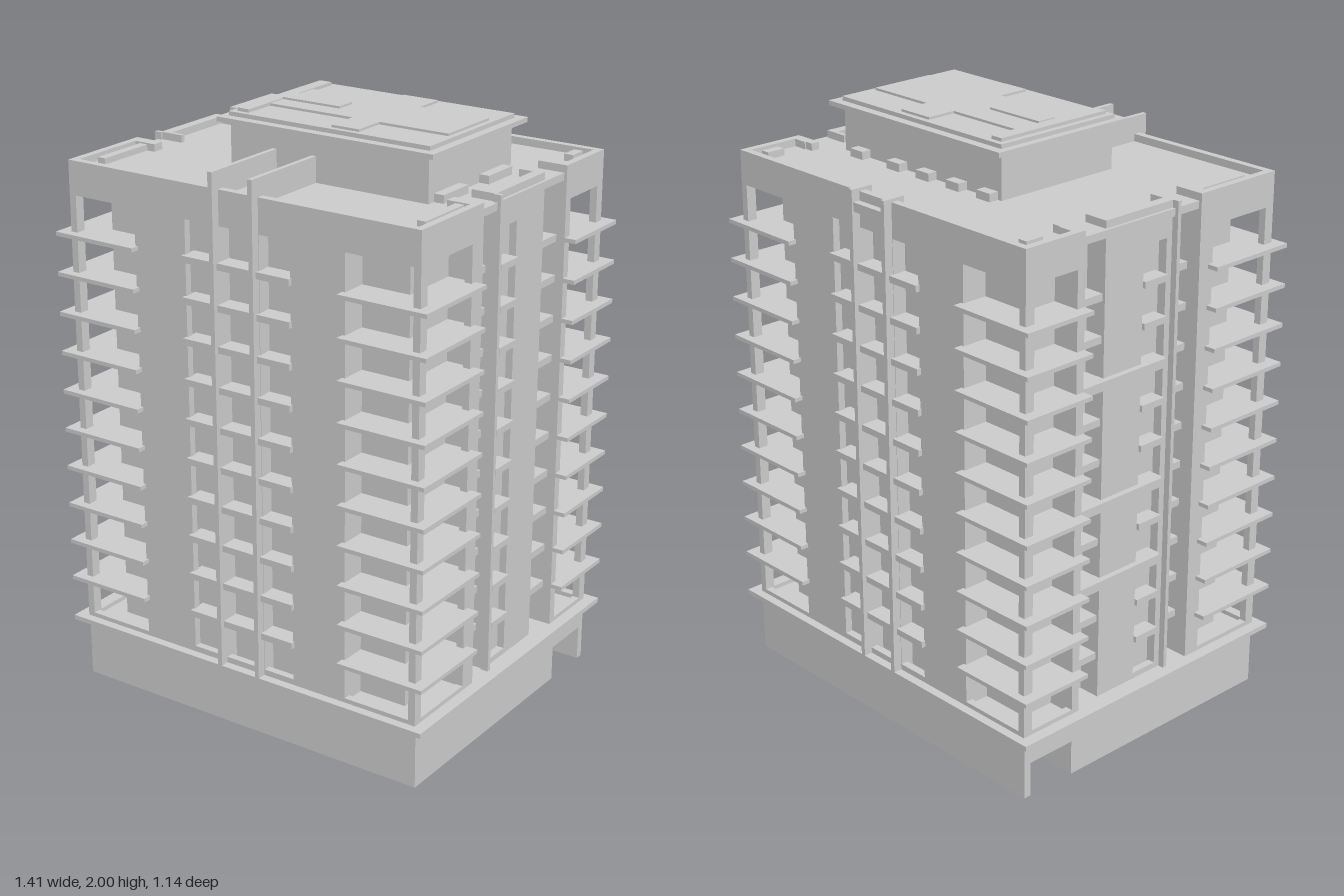
import * as THREE from 'three';

const mat = new THREE.MeshStandardMaterial({ color: 0xcccccc, flatShading: true });
const FLOORS = 11, STEP = 0.1356, Y0 = 0.23, TOP = 1.83;
const floorY = (i) => Y0 + STEP * i;

export function createModel() {
  const root = new THREE.Group();

  function group(name) {
    const g = new THREE.Group();
    g.name = name;
    root.add(g);
    return g;
  }

  // Box given by its two extreme corners
  function box(parent, name, x0, x1, y0, y1, z0, z1) {
    const m = new THREE.Mesh(new THREE.BoxGeometry(Math.abs(x1 - x0), y1 - y0, Math.abs(z1 - z0)), mat);
    m.position.set((x0 + x1) / 2, (y0 + y1) / 2, (z0 + z1) / 2);
    m.name = name;
    parent.add(m);
    return m;
  }

  // Upright wall in the xy plane with rectangular holes [a0, a1, b0, b1]
  function wall(name, u0, u1, v0, v1, holes, depth) {
    const rect = (T, a, b, c, d) => {
      const p = new T();
      p.moveTo(a, c); p.lineTo(b, c); p.lineTo(b, d); p.lineTo(a, d); p.closePath();
      return p;
    };
    const s = rect(THREE.Shape, u0, u1, v0, v1);
    holes.forEach(([a, b, c, d]) => s.holes.push(rect(THREE.Path, a, b, c, d)));
    const m = new THREE.Mesh(new THREE.ExtrudeGeometry(s, { depth, bevelEnabled: false }), mat);
    m.name = name;
    return m;
  }

  // Podium with a covered passage along the back
  const base = group('podium');
  box(base, 'podiumBody', -0.665, 0.665, 0, 0.205, -0.33, 0.535);
  box(base, 'passageCeiling', -0.665, 0.665, 0.12, 0.205, -0.52, -0.33);
  box(base, 'passageWall', -0.665, 0.665, 0, 0.205, -0.537, -0.51);
  box(base, 'podiumLedge', -0.705, 0.705, 0.205, 0.222, -0.57, 0.57);

  // Inner core and roof deck
  const core = group('core');
  box(core, 'coreBody', -0.57, 0.57, 0.21, 1.8, -0.45, 0.45);
  box(core, 'roofDeck', -0.655, 0.655, 1.78, 1.805, -0.53, 0.53);

  // Front and back facades
  for (const s of [1, -1]) {
    const g = group(s > 0 ? 'frontFacade' : 'backFacade');
    const holes = [];
    for (let i = 0; i < FLOORS; i++) {
      const y = floorY(i);
      for (const m of [-1, 1]) holes.push([Math.min(m * 0.4, m * 0.64), Math.max(m * 0.4, m * 0.64), y + 0.007, y + 0.13]);
      for (const [a, b] of [[-0.2, -0.085], [-0.067, 0.067], [0.085, 0.2]]) holes.push([a, b, y + 0.012, y + 0.128]);
    }
    const w = wall('facadeWall', -0.665, 0.665, 0.21, TOP, holes, 0.025);
    w.position.z = s > 0 ? 0.515 : -0.54;
    g.add(w);
    box(g, 'windowPanel', -0.23, 0.23, 0.21, 1.79, s * 0.44, s * 0.49);
    for (const m of [-1, 1]) {
      box(g, 'balconyPartition', m * 0.37, m * 0.4, 0.21, 1.79, s * 0.44, s * 0.52);
      box(g, 'verticalFin', m * 0.067, m * 0.083, 0.21, s > 0 ? 1.89 : 1.84, s * 0.49, s * 0.57);
    }
    for (let i = 1; i < FLOORS; i++) {
      box(g, 'windowSill', -0.205, 0.205, floorY(i) - 0.008, floorY(i) + 0.014, s * 0.48, s * 0.555);
    }
  }
  box(root.getObjectByName('backFacade'), 'finCap', -0.083, 0.083, 1.77, 1.8, -0.565, -0.5);

  // Side facades: corner bays, recessed strips and a plain central pier
  for (const s of [1, -1]) {
    const g = group(s > 0 ? 'leftSideFacade' : 'rightSideFacade');
    const sideWall = (name, z0, z1, a, b, outer, lo, hi) => {
      const holes = [];
      for (let i = 0; i < FLOORS; i++) holes.push([-b, -a, floorY(i) + lo, floorY(i) + hi]);
      const w = wall(name, -z1, -z0, 0.21, TOP, holes, 0.025);
      w.rotation.y = Math.PI / 2;
      w.position.x = s > 0 ? outer - 0.025 : -outer;
      g.add(w);
    };
    sideWall('frontCornerWall', 0.2, 0.517, 0.26, 0.505, 0.665, 0.007, 0.13);
    sideWall('backCornerWall', -0.517, -0.3, -0.505, -0.33, 0.665, 0.007, 0.13);
    sideWall('centralPier', -0.195, 0.1, -0.03, 0.07, 0.645, 0.012, 0.128);
    box(g, 'frontPartition', s * 0.56, s * 0.65, 0.21, TOP, 0.2, 0.24);
    box(g, 'backPartition', s * 0.56, s * 0.65, 0.21, TOP, -0.33, -0.3);
    box(g, 'pierSideFront', s * 0.56, s * 0.625, 0.21, TOP, 0.085, 0.1);
    box(g, 'pierSideBack', s * 0.56, s * 0.625, 0.21, TOP, -0.195, -0.18);
    box(g, 'pierWindowPanel', s * 0.55, s * 0.6, 0.21, 1.79, -0.19, 0.1);
    box(g, 'fin', s * 0.64, s * 0.667, 0.21, TOP, 0.093, 0.107);
    for (let i = 1; i < FLOORS; i++) {
      const y = floorY(i);
      box(g, 'pierSill', s * 0.59, s * 0.655, y - 0.008, y + 0.014, -0.03, 0.07);
      box(g, 'frontStripSpandrel', s * 0.56, s * 0.615, y - 0.01, y + 0.014, 0.1, 0.2);
      box(g, 'backStripSpandrel', s * 0.56, s * 0.635, y - 0.01, y + 0.014, -0.3, -0.195);
    }
  }
  // Bridging beams on one side only
  for (const i of [3, 5, 8]) {
    box(root.getObjectByName('rightSideFacade'), 'bridgingBeam', -0.62, -0.665, floorY(i) - 0.015, floorY(i) + 0.015, -0.3, 0.06);
  }

  // Wrap-around corner balcony slabs
  const slabs = group('balconySlabs');
  for (let i = 1; i < FLOORS; i++) {
    const y = floorY(i);
    for (const s of [1, -1]) {
      box(slabs, 'frontBalconySlab', s * 0.39, s * 0.705, y - 0.007, y + 0.007, 0.24, 0.57);
      box(slabs, 'backBalconySlab', s * 0.39, s * 0.705, y - 0.007, y + 0.007, -0.57, -0.3);
    }
  }

  // Roof parapet blocks, vents and beams
  const roof = group('roofDetails');
  for (const s of [1, -1]) {
    box(roof, 'frontRoofBlock', s * 0.59, s * 0.62, 1.8, 1.825, 0.23, 0.45);
    box(roof, 'cornerReturn', s * 0.6, s * 0.665, 1.8, TOP, 0.2, 0.23);
    box(roof, 'backReturn', s * 0.59, s * 0.665, 1.8, TOP, -0.335, -0.3);
    box(roof, 'sideRoofBlock', s * 0.61, s * 0.645, 1.8, TOP, -0.195, 0.085);
    box(roof, 'smallVent', s * 0.583, s * 0.615, 1.8, 1.828, -0.49, -0.425);
    box(roof, 'roofBeam', s * 0.067, s * 0.083, 1.8, 1.89, 0.235, 0.5);
  }
  for (const x of [-0.2, -0.06, 0.08, 0.22, 0.4]) {
    box(roof, 'wallVent', x - 0.03, x + 0.03, 1.8, 1.832, -0.275, -0.235);
  }
  for (const z of [-0.12, 0.14]) box(roof, 'endVent', 0.49, 0.53, 1.8, 1.832, z - 0.07, z + 0.07);

  // Penthouse with a stepped, rimmed roof
  const pent = group('penthouse');
  box(pent, 'penthouseWalls', -0.245, 0.495, 1.8, 1.96, -0.24, 0.24);
  box(pent, 'eaves', -0.275, 0.53, 1.955, 1.971, -0.277, 0.275);
  box(pent, 'upperRoof', -0.25, 0.5, 1.97, 1.985, -0.245, 0.243);
  box(pent, 'plantDeck', -0.185, 0.482, 1.98, 1.993, -0.12, 0.113);
  box(pent, 'backArm', 0.1, 0.23, 1.98, 1.993, -0.225, -0.12);
  box(pent, 'frontArm', 0.132, 0.232, 1.98, 1.993, 0.113, 0.225);
  box(pent, 'endStrip', -0.23, -0.185, 1.98, 1.996, -0.225, 0.225);
  box(pent, 'hatch', -0.185, 0.035, 1.985, 2.0, -0.025, 0.045);

  return root;
}
